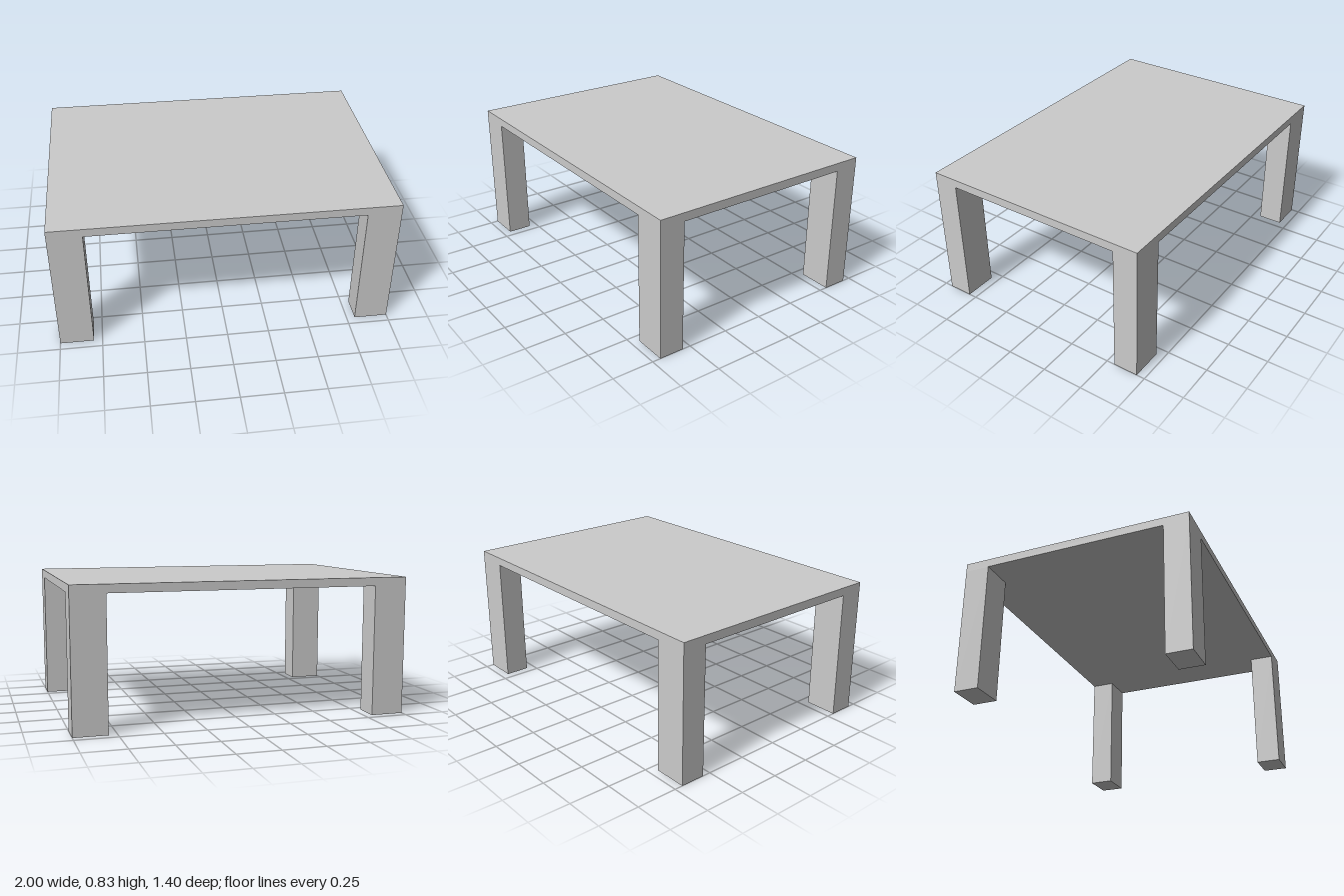
import * as THREE from 'three';

const WIDTH = 2, DEPTH = 1.4, HEIGHT = 0.83;
const TOP = 0.05;                     // tabletop thickness
const LEG_W = 0.2, LEG_D = 0.15;      // leg cross-section

export function createModel() {
  const table = new THREE.Group();
  table.name = 'table';
  const material = new THREE.MeshStandardMaterial({ color: 0xcccccc, flatShading: true });

  const addBox = (name, w, h, d, x, y, z) => {
    const mesh = new THREE.Mesh(new THREE.BoxGeometry(w, h, d), material);
    mesh.name = name;
    mesh.position.set(x, y, z);
    table.add(mesh);
  };

  // Thin slab top
  addBox('tabletop', WIDTH, TOP, DEPTH, 0, HEIGHT - TOP / 2, 0);

  // Four legs flush with the corners
  const legHeight = HEIGHT - TOP;
  for (const [zName, sz] of [['front', 1], ['back', -1]]) {
    for (const [xName, sx] of [['Left', 1], ['Right', -1]]) {
      addBox(`${zName}${xName}Leg`, LEG_W, legHeight, LEG_D,
        sx * (WIDTH - LEG_W) / 2, legHeight / 2, sz * (DEPTH - LEG_D) / 2);
    }
  }
  return table;
}
